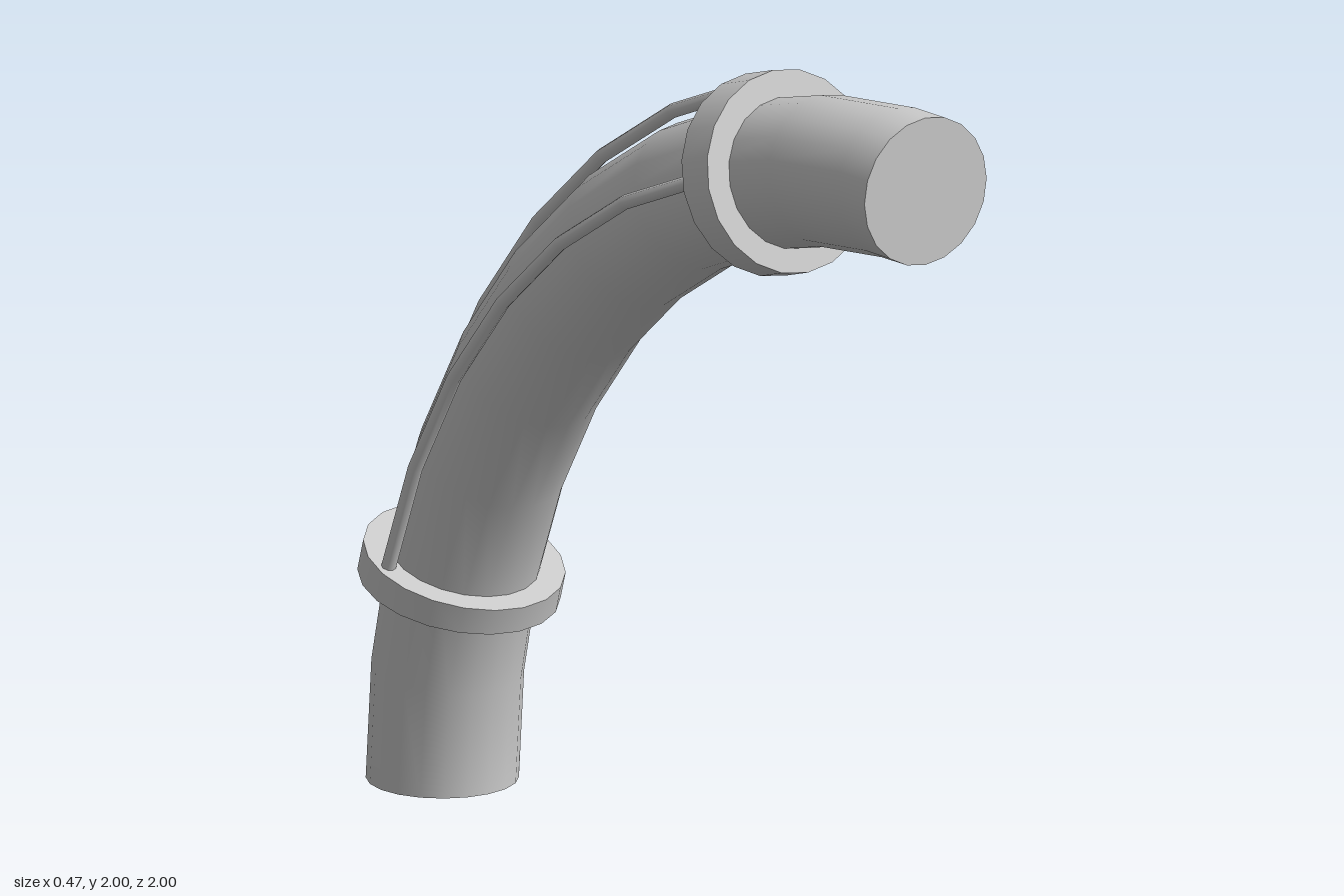
import * as THREE from 'three';

const BEND_RADIUS = 1.825; // centreline of the quarter bend, pivoting at y = 0, z = 1
const material = new THREE.MeshStandardMaterial({ color: 0xcccccc });

// Sweeps a capped round section along the bend through the given angles (degrees from the base).
// The section is centred at x = offsetX and at bend radius + offsetR.
function sweep(name, angles, radius, sides, smoothAlong, offsetX = 0, offsetR = 0) {
  const positions = [], normals = [], indices = [];
  const put = (deg, theta, r, normal) => {
    const a = THREE.MathUtils.degToRad(deg);
    const out = BEND_RADIUS + offsetR + r * Math.sin(theta);
    positions.push(offsetX + r * Math.cos(theta), out * Math.sin(a), 1 - out * Math.cos(a));
    if (normal) normals.push(0, normal * Math.cos(a), normal * Math.sin(a));
    else normals.push(Math.cos(theta), Math.sin(theta) * Math.sin(a), -Math.sin(theta) * Math.cos(a));
    return positions.length / 3 - 1;
  };

  // Side wall
  angles.forEach((deg, i) => {
    for (let j = 0; j <= sides; j++) {
      const p = put(deg, (j / sides) * Math.PI * 2, radius);
      if (i > 0 && j > 0) {
        const q = p - sides - 1;
        indices.push(q - 1, q, p - 1, q, p, p - 1);
      }
    }
  });

  // Flat ends
  for (const [deg, direction] of [[angles[0], -1], [angles[angles.length - 1], 1]]) {
    const centre = put(deg, 0, 0, direction);
    for (let j = 0; j <= sides; j++) {
      const p = put(deg, (j / sides) * Math.PI * 2, radius, direction);
      if (j > 0) indices.push(centre, ...(direction > 0 ? [p - 1, p] : [p, p - 1]));
    }
  }

  const geometry = new THREE.BufferGeometry();
  geometry.setAttribute('position', new THREE.Float32BufferAttribute(positions, 3));
  geometry.setAttribute('normal', new THREE.Float32BufferAttribute(normals, 3));
  geometry.setIndex(indices);
  const mesh = new THREE.Mesh(geometry, material);
  mesh.name = name;
  return mesh;
}

export function createModel() {
  const model = new THREE.Group();
  model.name = 'bentPipe';

  // Main pipe
  const pipeAngles = [0, 8.6, 17, 26, 35, 44, 53, 62, 71, 78.6, 86.8, 90];
  model.add(sweep('pipe', pipeAngles, 0.175, 20));

  // Slightly wedge-shaped collars
  model.add(sweep('lowerCollar', [15.1, 17.4], 0.235, 20));
  model.add(sweep('upperCollar', [70.7, 73.8], 0.235, 20));

  // Thin rods between the collars: one along the outer back, one on each side
  const rodAngles = [16.5, 26, 35, 44, 53, 62, 71.5];
  model.add(sweep('backRod', rodAngles, 0.017, 8, true, 0, 0.205));
  for (const side of [-1, 1]) {
    model.add(sweep(side > 0 ? 'leftRod' : 'rightRod', rodAngles, 0.017, 8, true, side * 0.203, 0.022));
  }
  return model;
}
